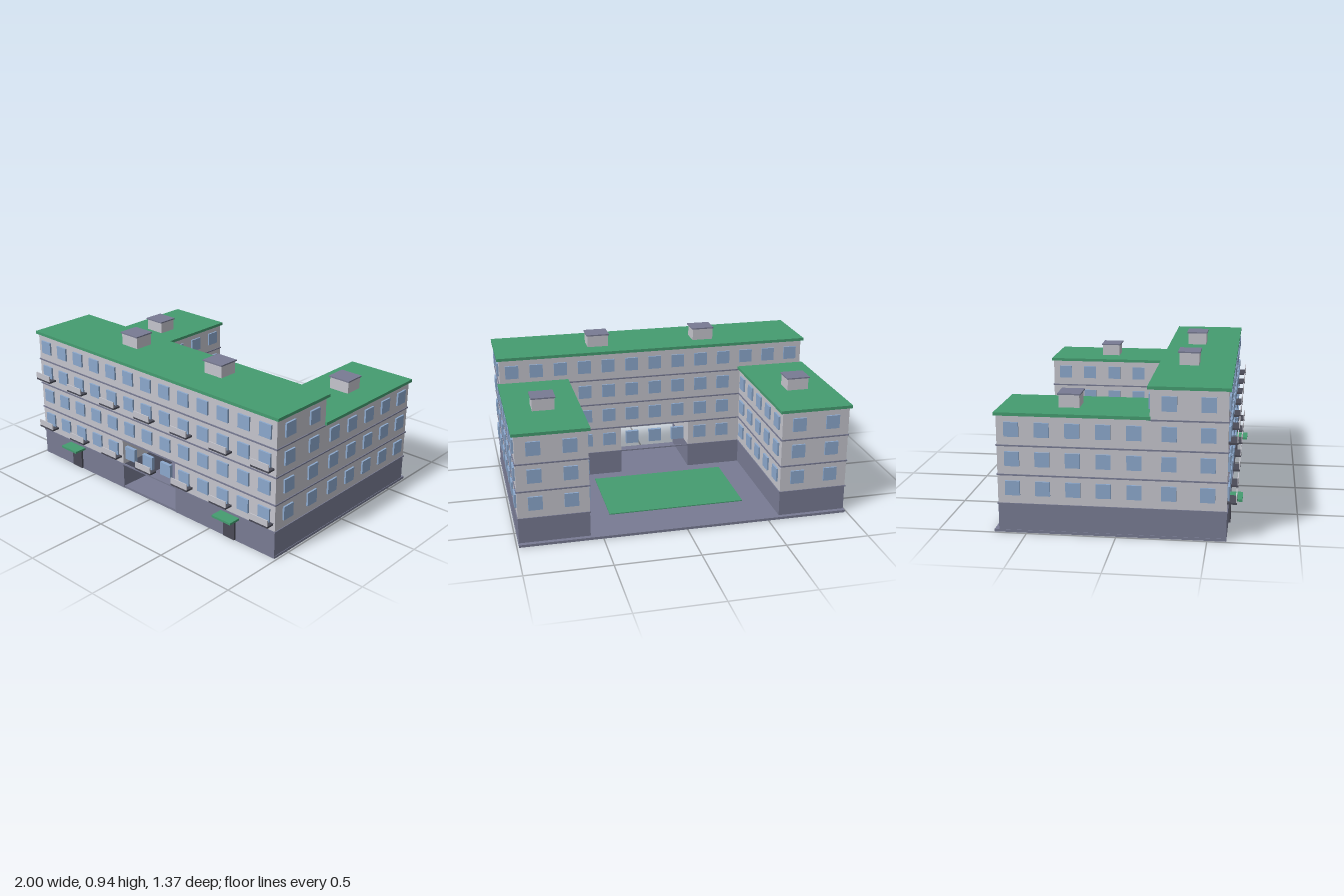
import * as THREE from 'three';

const mat = (name, color) => {
  const m = new THREE.MeshStandardMaterial({ color });
  m.name = name;
  return m;
};

export function createModel() {
  const root = new THREE.Group();
  root.name = 'courtyardBuilding';
  const wall = mat('pale grey wall', 0xc4c4cc);
  const slate = mat('slate', 0x787b93);
  const green = mat('green', 0x459c70);
  const glass = mat('blue glass', 0x8ca8cc);
  const dark = mat('charcoal', 0x4a4b57);

  // Box given by its extents on each axis
  const box = (name, material, [x0, x1], [y0, y1], [z0, z1], parent = root) => {
    const mesh = new THREE.Mesh(new THREE.BoxGeometry(x1 - x0, y1 - y0, z1 - z0), material);
    mesh.position.set((x0 + x1) / 2, (y0 + y1) / 2, (z0 + z1) / 2);
    mesh.name = name;
    parent.add(mesh);
    return mesh;
  };
  const group = (name) => {
    const g = new THREE.Group();
    g.name = name;
    root.add(g);
    return g;
  };
  // Extent on the x axis mirrored to the given side
  const side = (s, a, b) => (s > 0 ? [a, b] : [-b, -a]);

  const W = 0.985, FRONT = 0.605, MID = 0.185, BACK = -0.657, INNER = 0.572;
  const FLOOR = 0.1667, PASS = 0.225;

  // Ground slab and lawn
  box('courtyardSlab', slate, [-0.988, 0.988], [0, 0.015], [-0.683, 0.603]);
  box('lawn', green, [-0.417, 0.417], [0.015, 0.021], [-0.42, 0.1]);

  // Front block with a passage through its middle
  for (const s of [-1, 1]) {
    box('frontPlinth', slate, side(s, PASS, W), [0, FLOOR], [MID, FRONT]);
    box('frontLowerWall', wall, side(s, PASS, W), [FLOOR, 2 * FLOOR], [MID, FRONT]);
  }
  box('frontUpperWall', wall, [-W, W], [2 * FLOOR, 0.837], [MID, FRONT]);
  box('frontRoof', green, [-1, 1], [0.837, 0.855], [0.172, 0.617]);

  // Two lower rear wings
  for (const s of [-1, 1]) {
    box('wingPlinth', slate, side(s, INNER, W), [0, FLOOR], [BACK, MID]);
    box('wingWall', wall, side(s, INNER, W), [FLOOR, 0.67], [BACK, MID]);
    box('wingRoof', green, side(s, 0.558, 1), [0.67, 0.688], [-0.668, 0.19]);
  }

  // Ledges between floors: a thin frame around a rectangle
  const ledges = group('floorLedges');
  const ledge = (x0, x1, z0, z1, y) => {
    const e = 0.005, ys = [y - 0.004, y + 0.004];
    for (const z of [z0, z1]) box('ledge', slate, [x0 - e, x1 + e], ys, [z - e, z + e], ledges);
    for (const x of [x0, x1]) box('ledge', slate, [x - e, x + e], ys, [z0 - e, z1 + e], ledges);
  };
  for (let f = 1; f <= 4; f++) {
    ledge(-W, W, MID, FRONT, f * FLOOR);
    if (f < 4) for (const s of [-1, 1]) ledge(...side(s, INNER, W), BACK, MID, f * FLOOR);
  }

  // Windows, evenly spaced along each wall
  const windows = group('windows');
  const h = 0.041, d = 0.011;
  const spread = (a, b, n) => Array.from({ length: n }, (_, i) => a + ((b - a) * (i + 0.5)) / n);
  const windowZ = (x, y, z) => box('window', glass, [x - h, x + h], [y - h, y + h], [z - d, z + d], windows);
  const windowX = (x, y, z) => box('window', glass, [x - d, x + d], [y - h, y + h], [z - h, z + h], windows);
  const columns = spread(-W, W, 13);
  for (let f = 1; f <= 4; f++) {
    const y = f * FLOOR + 0.093;
    for (const x of columns) {
      windowZ(x, y, FRONT);
      if (f === 4 || Math.abs(x) < 0.5) windowZ(x, y, MID);
    }
    for (const s of [-1, 1]) {
      for (const z of spread(MID, FRONT, 2)) windowX(s * W, y, z);
      if (f === 4) continue;
      for (const z of spread(BACK, MID, 5)) {
        windowX(s * W, y, z);
        windowX(s * INNER, y, z);
      }
      for (const x of spread(INNER, W, 2)) windowZ(s * x, y, BACK);
    }
  }

  // Balconies on the first and third upper floors, at every other window
  const balconies = group('balconies');
  for (const y of [0.208, 0.543]) {
    columns.forEach((x, i) => {
      if (i % 2) return;
      box('balconySlab', dark, [x - 0.064, x + 0.064], [y, y + 0.011], [FRONT, 0.657], balconies);
      box('balconyRail', wall, [x - 0.064, x + 0.064], [y + 0.011, y + 0.049], [0.651, 0.657], balconies);
    });
  }

  // Entrance doors with canopies
  for (const s of [-1, 1]) {
    const x = s * 0.658;
    box('entranceDoor', dark, [x - 0.043, x + 0.043], [0.006, 0.135], [0.6, 0.617]);
    box('doorCanopy', green, [x - 0.07, x + 0.07], [0.142, 0.155], [0.6, 0.683]);
  }

  // Roof vents with caps
  const vent = (x, y, z) => {
    box('roofVent', wall, [x - 0.066, x + 0.066], [y, y + 0.073], [z - 0.058, z + 0.058]);
    box('roofVentCap', slate, [x - 0.072, x + 0.072], [y + 0.073, y + 0.081], [z - 0.065, z + 0.065]);
  };
  for (const s of [-1, 1]) {
    vent(s * 0.346, 0.854, 0.35);
    vent(s * 0.779, 0.687, -0.278);
  }
  return root;
}
